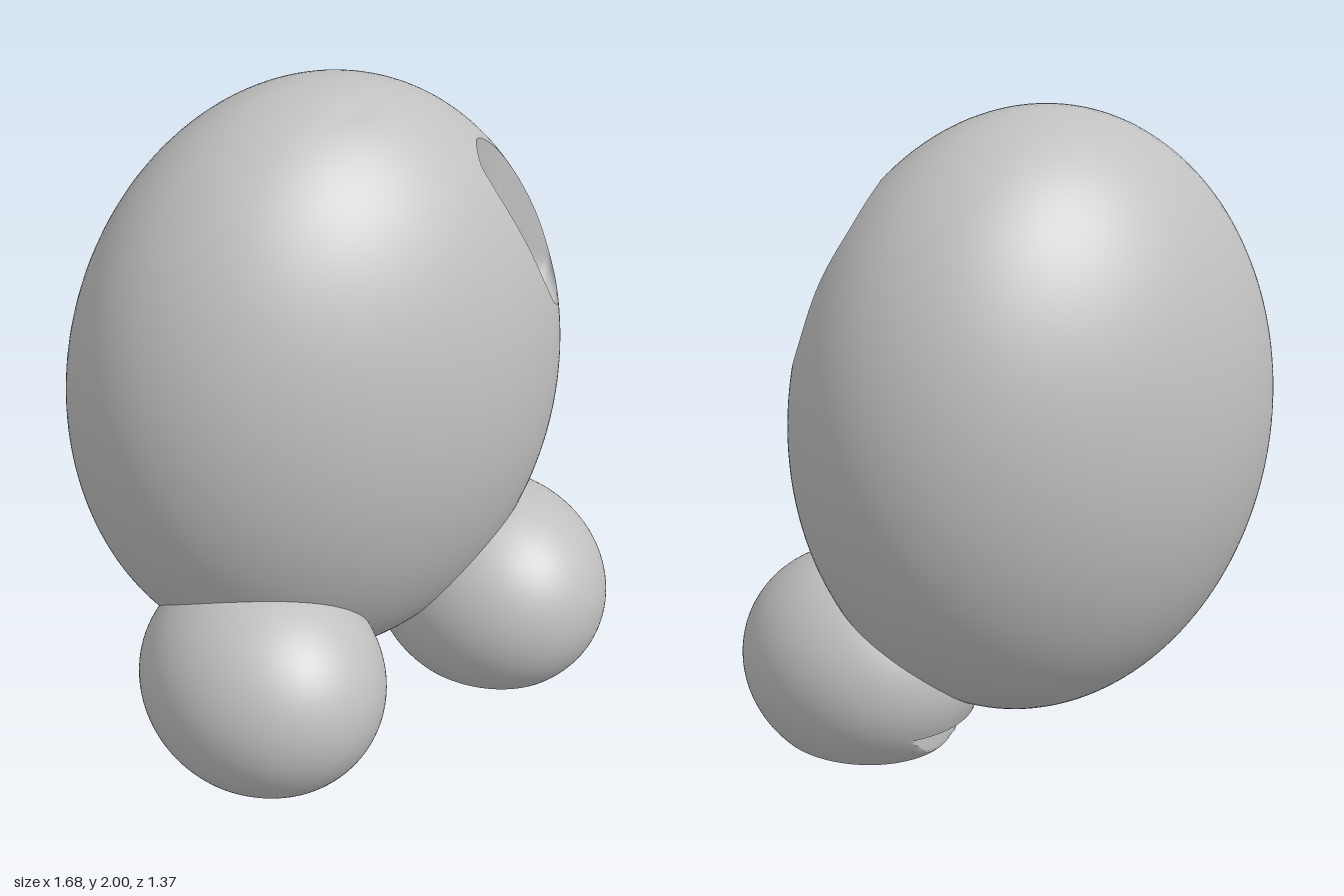
import * as THREE from 'three';
import { toCreasedNormals } from 'three/addons/utils/BufferGeometryUtils.js';

const grey = new THREE.MeshStandardMaterial({ color: 0xc0c0c0 });
grey.name = 'plain grey';

const SEG = 128;
const V = (x, y, z) => new THREE.Vector3(x, y, z);

// Skin a list of closed rings (each SEG points) into a surface.
function loft(name, rings, crease = 0.6) {
  const pos = [];
  const tri = (a, b, c) => {
    const area = b.clone().sub(a).cross(c.clone().sub(a)).length();
    if (area > 1e-10) for (const p of [a, b, c]) pos.push(p.x, p.y, p.z);
  };
  for (let i = 0; i < rings.length - 1; i++) {
    for (let j = 0; j < SEG; j++) {
      const k = (j + 1) % SEG;
      const [a, b, c, d] = [rings[i][j], rings[i][k], rings[i + 1][j], rings[i + 1][k]];
      tri(a, b, c);
      tri(b, d, c);
    }
  }
  const g = new THREE.BufferGeometry();
  g.setAttribute('position', new THREE.Float32BufferAttribute(pos, 3));
  const mesh = new THREE.Mesh(toCreasedNormals(g, crease), grey);
  mesh.name = name;
  return mesh;
}

// Body ellipsoid
const C = V(0, 1.04, -0.05), R = V(0.84, 0.96, 0.64);
const BASE = 0.11;

// Opening: outline in x and y, dropped onto the front of the body
const outline = [
  [0.72, 1.33], [0.677, 1.227], [0.603, 1.26], [0.54, 1.344], [0.444, 1.53], [0.37, 1.688],
  [0.354, 1.756], [0.39, 1.79], [0.434, 1.788], [0.566, 1.69], [0.656, 1.53],
].map(([x, y]) => V(x, y, 0));
const rim = new THREE.CatmullRomCurve3(outline, true).getSpacedPoints(SEG).slice(0, SEG).map(p => {
  const h = 1 - (p.x / R.x) ** 2 - ((p.y - C.y) / R.y) ** 2;
  return V(p.x, p.y, C.z + R.z * Math.sqrt(Math.max(0, h)));
});

function makeBody() {
  // Sweep from the rim to the opposite side of the ellipsoid
  const dirs = rim.map(p => p.clone().sub(C).divide(R).normalize());
  const far = dirs.reduce((s, d) => s.add(d), V(0, 0, 0)).normalize().negate();
  const rings = [rim];
  const N = 96;
  for (let i = 1; i <= N; i++) {
    const t = i / N;
    rings.push(dirs.map(d => {
      const w = d.angleTo(far);
      const p = d.clone().multiplyScalar(Math.sin((1 - t) * w))
        .addScaledVector(far, Math.sin(t * w)).normalize().multiply(R).add(C);
      // small dent near the crown
      if (p.y > C.y) p.y -= 0.008 * Math.exp(-((p.x / 0.07) ** 2) - ((p.z - 0.13) / 0.03) ** 2);
      p.y = Math.max(p.y, BASE); // flat underside
      return p;
    }));
  }
  return loft('body', rings);
}

function makeCavity() {
  // Slanted shaft walls ending in a rounded floor
  const wallFoot = rim.map(p => {
    const drop = Math.max(0, p.y - 1.36);
    return V(p.x - 0.3 * drop, p.y - drop, p.z);
  });
  const centre = V(0.47, 1.2, 0.278);
  const rings = [];
  for (let i = 0; i <= 12; i++) {
    const a = (i / 12) * Math.PI / 2, s = Math.sin(a);
    rings.push(wallFoot.map(p => V(
      centre.x + (p.x - centre.x) * s,
      p.y + (centre.y - p.y) * Math.cos(a),
      centre.z + (p.z - centre.z) * s)));
  }
  for (let i = 1; i <= 6; i++) rings.push(wallFoot.map((p, j) => p.clone().lerp(rim[j], i / 6)));
  return loft('cavity', rings);
}

function makeFoot(side) {
  const c = V(side * 0.463, 0.245, 0.27), r = V(0.367, 0.356, 0.415);
  const nx = -0.39 * side, nz = -0.92, limit = 0.298;
  const slice = (y, cut) => {
    const k = Math.sqrt(Math.max(0, 1 - ((y - c.y) / r.y) ** 2));
    return Array.from({ length: SEG }, (_, j) => {
      const a = (j / SEG) * Math.PI * 2;
      let x = r.x * k * Math.cos(a), z = r.z * k * Math.sin(a);
      const d = x * nx + z * nz;
      if (cut && d > limit) { x *= limit / d; z *= limit / d; }
      return V(c.x + x, y, c.z + z);
    });
  };
  const rings = [];
  const end = Math.acos((BASE - c.y) / r.y);
  for (let i = 0; i <= 40; i++) rings.push(slice(c.y + r.y * Math.cos(end * i / 40), false));
  // lower heel is cut back by an upright plane, leaving a ledge
  for (let i = 0; i <= 8; i++) rings.push(slice(BASE * (1 - i / 8), true));
  // flat sole
  rings.push(rim.map(() => V(c.x, 0, c.z)));
  return loft(side > 0 ? 'leftFoot' : 'rightFoot', rings, 0.5);
}

export function createModel() {
  const model = new THREE.Group();
  model.name = 'eggFigure';
  model.add(makeBody(), makeCavity(), makeFoot(1), makeFoot(-1));
  return model;
}
